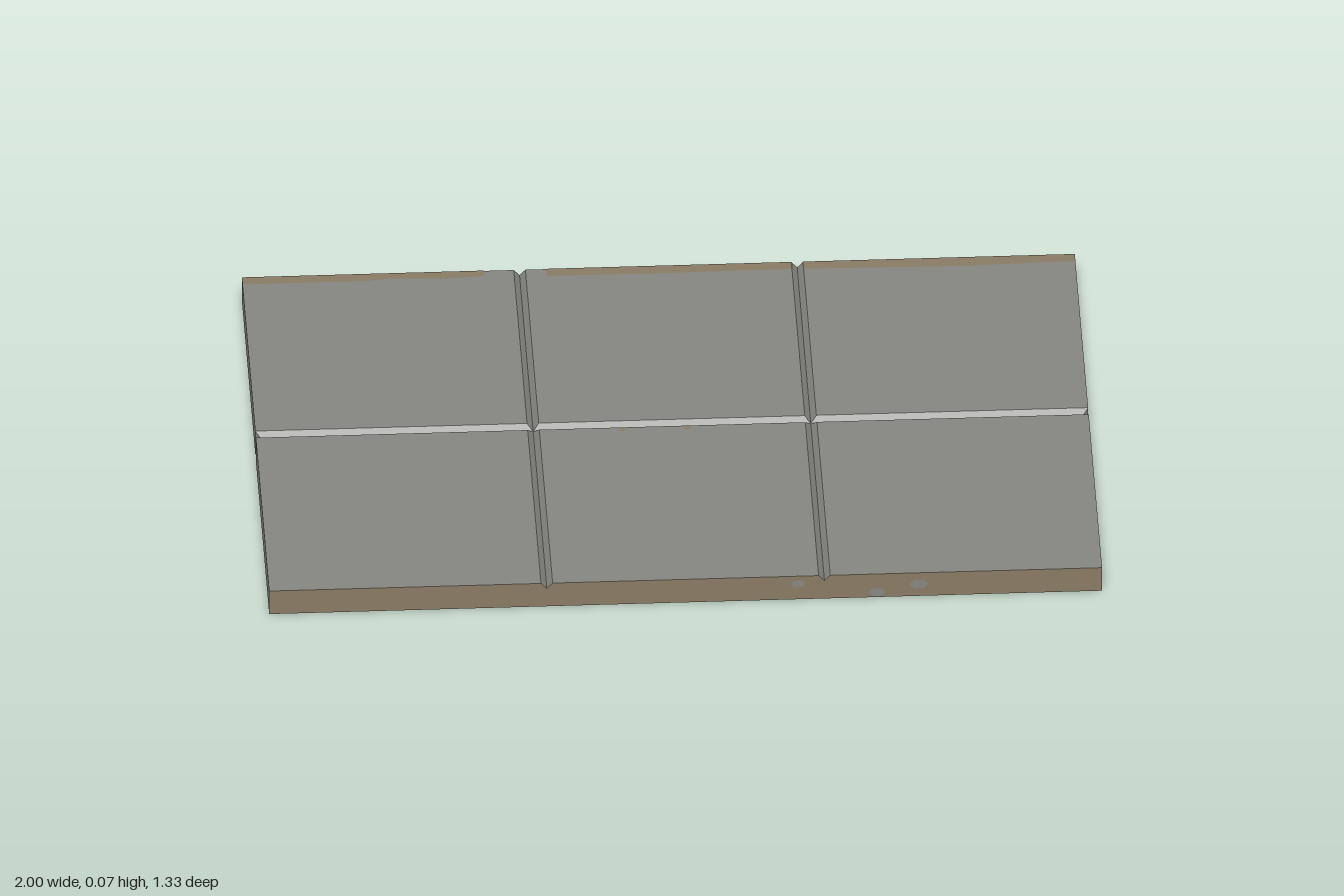
import * as THREE from 'three';

const H = 0.067, DEPTH = 0.015, W = 0.014, HX = 1, HZ = 0.662, J = 1 / 3;

// grid lines: slab edges plus both lips and the centre of every groove
const XS = [-HX, -J - W, -J, -J + W, J - W, J, J + W, HX];
const ZS = [-HZ, -W, 0, W, HZ];

const stone = new THREE.MeshStandardMaterial({ color: 0x868782, side: THREE.DoubleSide });
stone.name = 'grey stone';
const earth = new THREE.MeshStandardMaterial({ color: 0x8a7c65, side: THREE.DoubleSide });
earth.name = 'brown earth';

// point on the slab surface; the long groove also notches the end walls
function surface(i, j) {
  const grooved = i === 2 || i === 5 || j === 2;
  const atEnd = j === 2 && (i === 0 || i === XS.length - 1);
  return [XS[i] * (atEnd ? 1 - W : 1), grooved ? H - DEPTH : H, ZS[j]];
}

// flat-sided mesh from four-cornered faces
function faces(name, quads, material) {
  const pos = [];
  for (const [a, b, c, d] of quads) {
    const tris = a[1] !== c[1] ? [a, b, c, a, c, d] : [b, c, d, b, d, a];
    pos.push(...tris.flat());
  }
  const geo = new THREE.BufferGeometry();
  geo.setAttribute('position', new THREE.Float32BufferAttribute(pos, 3));
  geo.computeVertexNormals();
  const mesh = new THREE.Mesh(geo, material);
  mesh.name = name;
  return mesh;
}

// wall hanging from a run of surface points down to the ground
function wall(name, run, material) {
  const quads = [];
  for (let k = 0; k + 1 < run.length; k++) {
    const [p, q] = [run[k], run[k + 1]];
    quads.push([[p[0], 0, p[2]], [q[0], 0, q[2]], q, p]);
  }
  return faces(name, quads, material);
}

// thin irregular stain lying on the top face
function stain(name, points) {
  const shape = new THREE.Shape(points.map(([x, z]) => new THREE.Vector2(x, -z)));
  const mesh = new THREE.Mesh(new THREE.ShapeGeometry(shape), earth);
  mesh.rotation.x = -Math.PI / 2;
  mesh.position.y = H + 0.001;
  mesh.name = name;
  return mesh;
}

export function createModel() {
  const group = new THREE.Group();
  group.name = 'pavingSlab';

  // six flat tiles and the V grooves between them
  const tiles = [], grooves = [];
  for (let i = 0; i + 1 < XS.length; i++) {
    for (let j = 0; j + 1 < ZS.length; j++) {
      const quad = [surface(i, j), surface(i, j + 1), surface(i + 1, j + 1), surface(i + 1, j)];
      (i % 3 === 0 && j % 3 === 0 ? tiles : grooves).push(quad);
    }
  }
  group.add(faces('tiles', tiles, stone), faces('grooves', grooves, stone));

  // outer walls, open underneath
  const nx = XS.length - 1, nz = ZS.length - 1;
  const alongX = (j) => XS.map((_, i) => surface(i, j));
  const alongZ = (i) => ZS.map((_, j) => surface(i, j));
  group.add(
    wall('frontWall', alongX(nz), earth),
    wall('rightWall', alongZ(nx).reverse(), stone),
    wall('backWall', alongX(0).reverse(), stone),
    wall('leftWall', alongZ(0), stone),
  );

  // earth stains along the back edge
  const bands = [
    [[-1, -0.632], [-0.7, -0.632], [-0.64, -0.64], [-0.5, -0.632], [-0.42, -0.64], [-0.42, -HZ], [-1, -HZ]],
    [[-0.27, -0.632], [0, -0.63], [0.32, -0.632], [0.32, -HZ], [-0.27, -HZ]],
    [[0.347, -0.632], [0.72, -0.625], [1, -0.632], [1, -HZ], [0.347, -HZ]],
  ];
  for (const band of bands) group.add(stain('backStain', band));

  // small flecks beside the long groove
  for (const x of [-0.12, 0.035]) {
    group.add(stain('fleck', [[x - 0.015, 0.016], [x, 0.034], [x + 0.015, 0.016]]));
  }

  // worn grey chips on the front wall
  for (const [x, y, r] of [[0.27, 0.045, 0.011], [0.46, 0.014, 0.013], [0.56, 0.035, 0.014]]) {
    const chip = new THREE.Mesh(new THREE.CircleGeometry(r, 6), stone);
    chip.position.set(x, y, HZ + 0.001);
    chip.scale.x = 1.6;
    chip.name = 'wornChip';
    group.add(chip);
  }
  return group;
}
